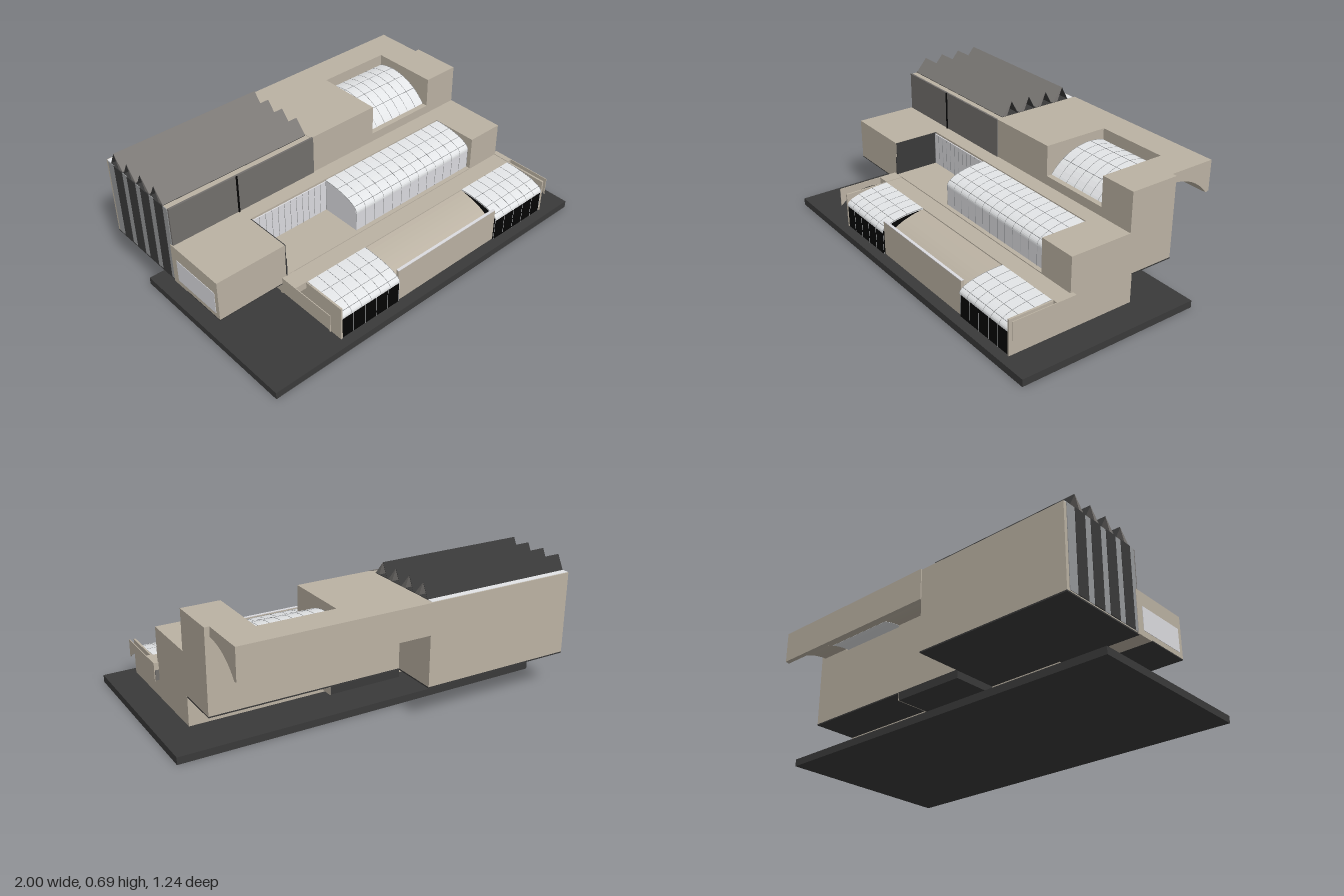
import * as THREE from 'three';

const mat = (name, color) => {
  const m = new THREE.MeshStandardMaterial({ color, side: THREE.DoubleSide });
  m.name = name;
  return m;
};

export function createModel() {
  const stone = mat('warm stone', 0xbbb2a3);
  const slate = mat('dark slate', 0x3a3a3a);
  const black = mat('black glass', 0x040404);
  const smoke = mat('smoked grey panel', 0x73706d);
  const tooth = mat('rooflight grey', 0x7c7976);
  const glass = mat('pale glass', 0xe4e6e8);
  const pane = mat('grey window', 0xdcdce0);
  const frame = mat('mullion grey', 0x96989a);
  const model = new THREE.Group();
  model.name = 'terracedBuilding';

  const add = (name, geo, m) => {
    const mesh = new THREE.Mesh(geo, m);
    mesh.name = name;
    model.add(mesh);
  };
  // Box from its limits
  const box = (name, m, x0, x1, y0, y1, z0, z1) => {
    const g = new THREE.BoxGeometry(x1 - x0, y1 - y0, z1 - z0);
    g.translate((x0 + x1) / 2, (y0 + y1) / 2, (z0 + z1) / 2);
    add(name, g, m);
  };
  // Profile of [z, y] points extruded along x
  const prism = (name, m, x0, x1, pts) => {
    const shape = new THREE.Shape(pts.map(([z, y]) => new THREE.Vector2(-z, y)));
    const g = new THREE.ExtrudeGeometry(shape, { depth: x1 - x0, bevelEnabled: false });
    g.rotateY(Math.PI / 2).translate(x0, 0, 0);
    add(name, g, m);
  };
  // Circular arc through a crown point, sampled between two z values
  const arc = (zc, top, r, z0, z1, n = 16) => Array.from({ length: n + 1 }, (_, i) => {
    const z = z0 + (z1 - z0) * i / n;
    return [z, top - r + Math.sqrt(Math.max(0, r * r - (z - zc) ** 2))];
  });
  // Quarter ellipse falling from a crown at z0 to a vertical end at z1
  const quarter = (z0, z1, top, drop, n = 16) => Array.from({ length: n + 1 }, (_, i) => {
    const a = Math.PI / 2 * i / n;
    return [z0 + (z1 - z0) * Math.sin(a), top - drop + drop * Math.cos(a)];
  });
  // Thin shell following a curve
  const shell = (name, m, x0, x1, curve, t = 0.006, lift = 0) => prism(name, m, x0, x1, [
    ...curve.map(([z, y]) => [z, y + lift]),
    ...curve.slice().reverse().map(([z, y]) => [z, y + lift - t])]);
  // Glazed vault with fine ribs and crossbars
  const glazedVault = (name, x0, x1, curve, ribs, bars) => {
    shell(name, glass, x0, x1, curve);
    for (let i = 0; i <= ribs; i++) {
      const x = x0 + (x1 - x0 - 0.002) * i / ribs;
      shell(name + 'Rib', frame, x, x + 0.002, curve, 0.003, 0.001);
    }
    for (let i = 1; i < bars; i++) {
      const [z, y] = curve[Math.round(i * (curve.length - 1) / bars)];
      box(name + 'Bar', frame, x0, x1, y - 0.002, y + 0.001, z - 0.001, z + 0.001);
    }
  };
  // Upright window with mullions
  const windowWall = (name, m, bar, x0, x1, y0, y1, z, n) => {
    box(name, m, x0, x1, y0, y1, z - 0.006, z);
    for (let i = 0; i <= n; i++) {
      const x = x0 + (x1 - x0 - 0.002) * i / n;
      box(name + 'Mullion', bar, x, x + 0.002, y0, y1, z, z + 0.001);
    }
  };

  // Plinth
  box('plinth', slate, -1, 1, 0, 0.038, -0.37, 0.62);

  // Ground floor
  box('groundFloorCore', stone, -0.58, 0.84, 0.038, 0.19, -0.13, 0.23);
  box('rearBeam', slate, -0.17, 0.218, 0.15, 0.19, -0.373, -0.13);
  box('rearBeamEnd', stone, 0.218, 0.223, 0.15, 0.19, -0.373, -0.13);
  box('groundFloorRoof', stone, -0.58, 0.84, 0.19, 0.225, 0.2, 0.33);
  box('frontWall', stone, -0.21, 0.47, 0.038, 0.222, 0.545, 0.56);
  box('frontCoping', pane, -0.21, 0.47, 0.222, 0.225, 0.545, 0.56);
  prism('stoneVault', stone, -0.21, 0.47, [[0.545, 0.04], [0.23, 0.04], [0.23, 0.225],
    ...quarter(0.24, 0.545, 0.225, 0.13)]);
  for (const [a, b] of [[-0.575, -0.21], [0.47, 0.83]]) {
    glazedVault('lowVault', a, b, quarter(0.33, 0.57, 0.225, 0.06), 6, 4);
    box('pavilionFill', black, a, b, 0.038, 0.16, 0.23, 0.56);
    windowWall('pavilionFront', black, glass, a, b, 0.038, 0.165, 0.567, 5);
  }
  // End walls, side canopies and thin outer screens cut by an arch
  for (const [wall, c0, c1, screen] of [[-0.58, -0.645, -0.575, -0.645], [0.83, 0.835, 0.864, 0.861]]) {
    box('endWall', stone, wall, wall + 0.01, 0.038, 0.225, 0.21, 0.57);
    box('sideCanopy', stone, c0, c1, 0.19, 0.228, 0.222, 0.33);
    box('sideCanopyPanel', smoke, c0 + 0.005, c1 - 0.005, 0.135, 0.19, 0.222, 0.235);
    prism('archedScreen', stone, screen, screen + 0.004, [
      [0.57, 0.228], [0.222, 0.228], [0.222, 0.13], ...arc(0.4, 0.195, 0.255, 0.235, 0.57)]);
  }

  // Middle floor
  box('middleRear', stone, -1, 0.84, 0.19, 0.412, -0.12, -0.02);
  box('middleLeftBlock', stone, -1, -0.62, 0.195, 0.412, -0.02, 0.235);
  box('middleLeftSoffit', slate, -1, -0.62, 0.19, 0.195, -0.02, 0.235);
  box('middleRightBlock', stone, 0.635, 0.84, 0.19, 0.412, -0.02, 0.235);
  box('terraceFloor', stone, -0.62, 0.635, 0.19, 0.23, -0.02, 0.235);
  box('recessSide', slate, -0.62, -0.614, 0.23, 0.41, -0.02, 0.232);
  box('recessRail', slate, -0.62, -0.614, 0.23, 0.33, 0.232, 0.238);
  windowWall('terraceWindow', pane, frame, -0.614, -0.16, 0.23, 0.405, -0.01, 12);
  const mid = quarter(-0.015, 0.213, 0.41, 0.072);
  prism('galleryFill', pane, -0.16, 0.635, [[-0.015, 0.23], [0.205, 0.23],
    ...mid.slice().reverse().map(([z, y]) => [Math.min(z, 0.205), y - 0.005])]);
  glazedVault('galleryVault', -0.16, 0.635, mid, 13, 4);
  windowWall('galleryFront', pane, frame, -0.16, 0.635, 0.23, 0.34, 0.212, 13);
  box('leftEndWindow', pane, -1.002, -0.999, 0.22, 0.34, -0.08, 0.21);

  // Upper floor, stone half with a notch for the skylight
  const crown = -0.37;
  box('upperBlock', stone, -0.17, 0.243, 0.195, 0.62, crown, -0.105);
  box('upperBlock', stone, 0.642, 0.84, 0.195, 0.62, crown, -0.105);
  box('skylightBase', stone, 0.243, 0.642, 0.195, 0.46, crown, -0.105);
  box('skylightWall', stone, 0.243, 0.642, 0.46, 0.56, crown, crown + 0.01);
  box('upperSoffit', slate, -0.17, 0.84, 0.188, 0.195, crown, -0.13);
  for (const [a, b, edge] of [[-0.17, 0.243, crown], [0.243, 0.642, -0.465], [0.642, 0.815, crown]]) {
    prism('archedOverhang', stone, a, b, [[edge, 0.62], [-0.624, 0.62], [-0.624, 0.46],
      ...arc(crown, 0.57, 0.298, -0.605, edge)]);
  }
  glazedVault('skylight', 0.243, 0.642, arc(crown, 0.575, 0.3, -0.465, -0.12), 7, 4);

  // Upper floor, studio half
  box('studioBlock', stone, -0.995, -0.17, 0.195, 0.618, -0.618, -0.11);
  box('studioSoffit', slate, -0.995, -0.17, 0.188, 0.195, -0.618, -0.11);
  box('studioRoof', slate, -0.995, -0.175, 0.616, 0.62, -0.578, -0.142);
  box('rearGutter', glass, -0.995, -0.175, 0.616, 0.62, -0.612, -0.578);
  box('studioFront', smoke, -0.995, -0.16, 0.412, 0.62, -0.11, -0.1);
  box('studioFin', black, -0.628, -0.62, 0.412, 0.62, -0.1, -0.095);
  box('studioSide', frame, -0.998, -0.995, 0.2, 0.618, -0.6, -0.11);
  for (let i = 0; i < 4; i++) {
    // Saw-tooth rooflights, with a fin below each on the side wall
    const z = -0.143 - i * 0.111;
    prism('roofTooth', tooth, -0.995, -0.175, [[z, 0.62], [z - 0.062, 0.692], [z - 0.032, 0.62]]);
    prism('roofToothBack', slate, -0.995, -0.175, [[z - 0.062, 0.692], [z - 0.0605, 0.689], [z - 0.098, 0.62], [z - 0.1, 0.62]]);
    box('sideFin', slate, -1, -0.995, 0.2, 0.62, z - 0.07, z);
  }
  return model;
}
